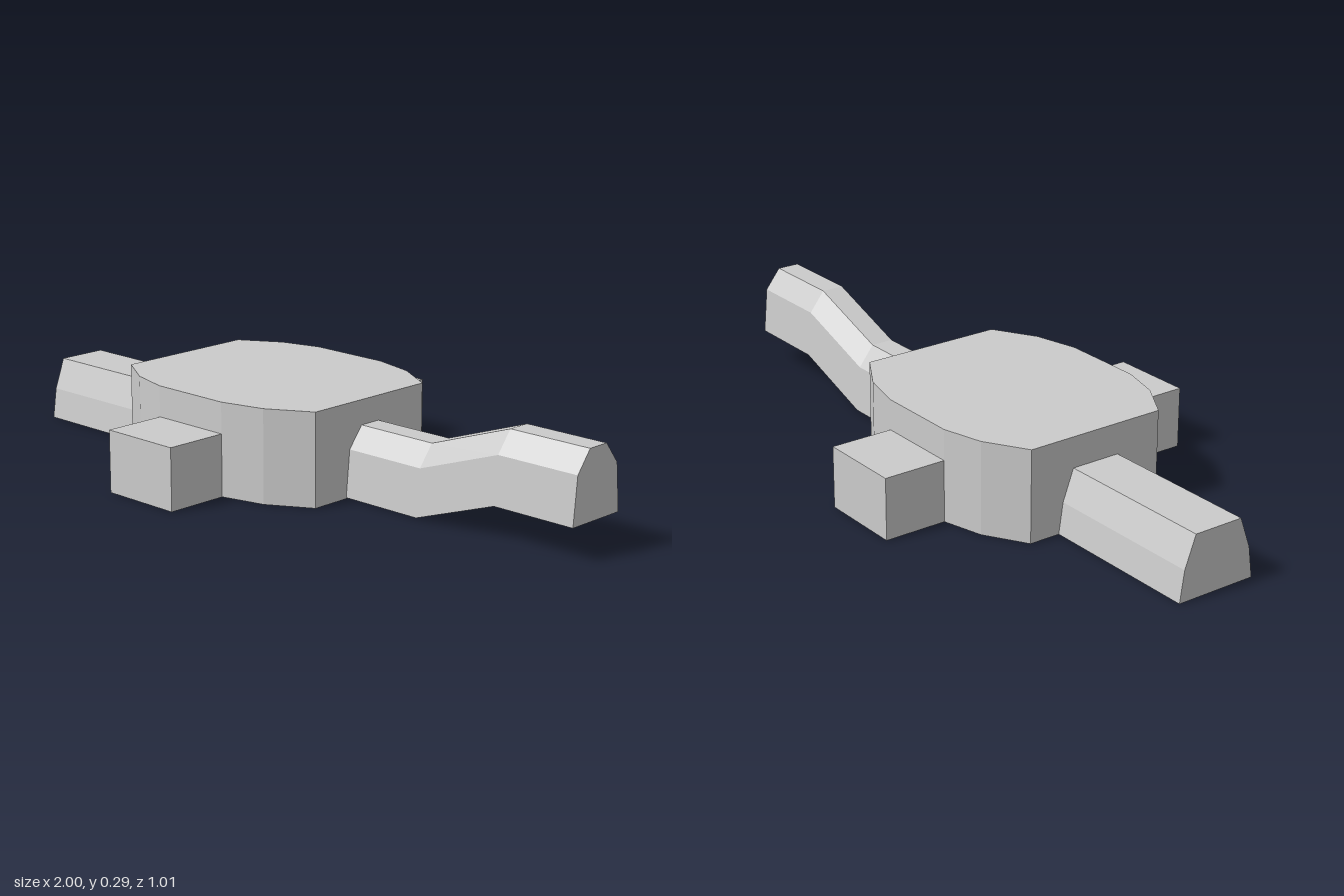
import * as THREE from 'three';

const grey = new THREE.MeshStandardMaterial({ color: 0xcccccc, flatShading: true });
const greyInside = new THREE.MeshStandardMaterial({ color: 0xcccccc, flatShading: true, side: THREE.BackSide });

function add(group, name, geometry, material = grey) {
  const mesh = new THREE.Mesh(geometry, material);
  mesh.name = name;
  group.add(mesh);
  return mesh;
}

// Half section [halfWidth, y] from bottom to top, carried along stations [x, yOffset]
function loft(half, stations) {
  const ring = [[half[0][0], half[0][1]],
    ...half.map(([z, y]) => [-z, y]),
    ...half.slice(1).reverse()];
  const n = ring.length;
  const pos = [], idx = [];
  for (const [x, dy] of stations) for (const [z, y] of ring) pos.push(x, y + dy, z);
  for (let s = 0; s < stations.length - 1; s++) {
    for (let i = 0; i < n; i++) {
      const a = s * n + i, b = s * n + (i + 1) % n;
      idx.push(a, b, b + n, a, b + n, a + n);
    }
  }
  const last = (stations.length - 1) * n;
  for (let i = 1; i < n - 1; i++) {
    idx.push(0, i + 1, i, last, last + i, last + i + 1);
  }
  const g = new THREE.BufferGeometry();
  g.setAttribute('position', new THREE.Float32BufferAttribute(pos, 3));
  g.setIndex(idx);
  const flat = g.toNonIndexed();
  flat.computeVertexNormals();
  return flat;
}

// Flat-sided slab from an outline in x and z, between two heights
function slab(shape, y0, y1) {
  return new THREE.ExtrudeGeometry(shape, { depth: y1 - y0, bevelEnabled: false })
    .rotateX(-Math.PI / 2).translate(0, y0, 0);
}

export function createModel() {
  const model = new THREE.Group();
  model.name = 'model';

  // Faceted central body
  const side = [[-0.52, 0.215], [-0.4, 0.288], [-0.28, 0.32], [-0.03, 0.32], [0.1, 0.288], [0.225, 0.215]];
  const outline = () => new THREE.Shape(
    [...side.map(([x, z]) => [x, -z]), ...side.slice().reverse()].map(([x, z]) => new THREE.Vector2(x, z)));

  // Lower half has a rectangular opening underneath
  const px = -0.155, pz = -0.04, hw = 0.17, hd = 0.09, split = 0.08;
  const lower = outline();
  lower.holes.push(new THREE.Path([[-hw, -hd], [-hw, hd], [hw, hd], [hw, -hd]]
    .map(([x, y]) => new THREE.Vector2(px + x, -pz + y))));
  add(model, 'bodyLower', slab(lower, 0, split));
  add(model, 'bodyUpper', slab(outline(), split, 0.27));

  // Sloping walls inside the opening
  const pocket = new THREE.CylinderGeometry(0.5 * Math.SQRT2, Math.SQRT2, split, 4, 1, true)
    .rotateY(Math.PI / 4).scale(hw, 1, hd).translate(px, split / 2, pz);
  add(model, 'undersidePocket', pocket, greyInside);

  // Block lugs at front and back
  for (const s of [1, -1]) {
    const lug = add(model, s > 0 ? 'frontLug' : 'backLug', new THREE.BoxGeometry(0.25, 0.18, 0.2));
    lug.position.set(-0.155, 0.09, s * 0.407);
  }

  // Straight arm
  add(model, 'straightArm', loft([[0.121, 0], [0.108, 0.09], [0.075, 0.18]], [[-1, 0], [-0.47, 0]]));

  // Cranked arm, stepping up towards its end
  add(model, 'crankedArm', loft([[0.094, 0], [0.081, 0.135], [0.034, 0.195]],
    [[0.17, 0.003], [0.48, 0.003], [0.745, 0.095], [1, 0.095]]));

  return model;
}
